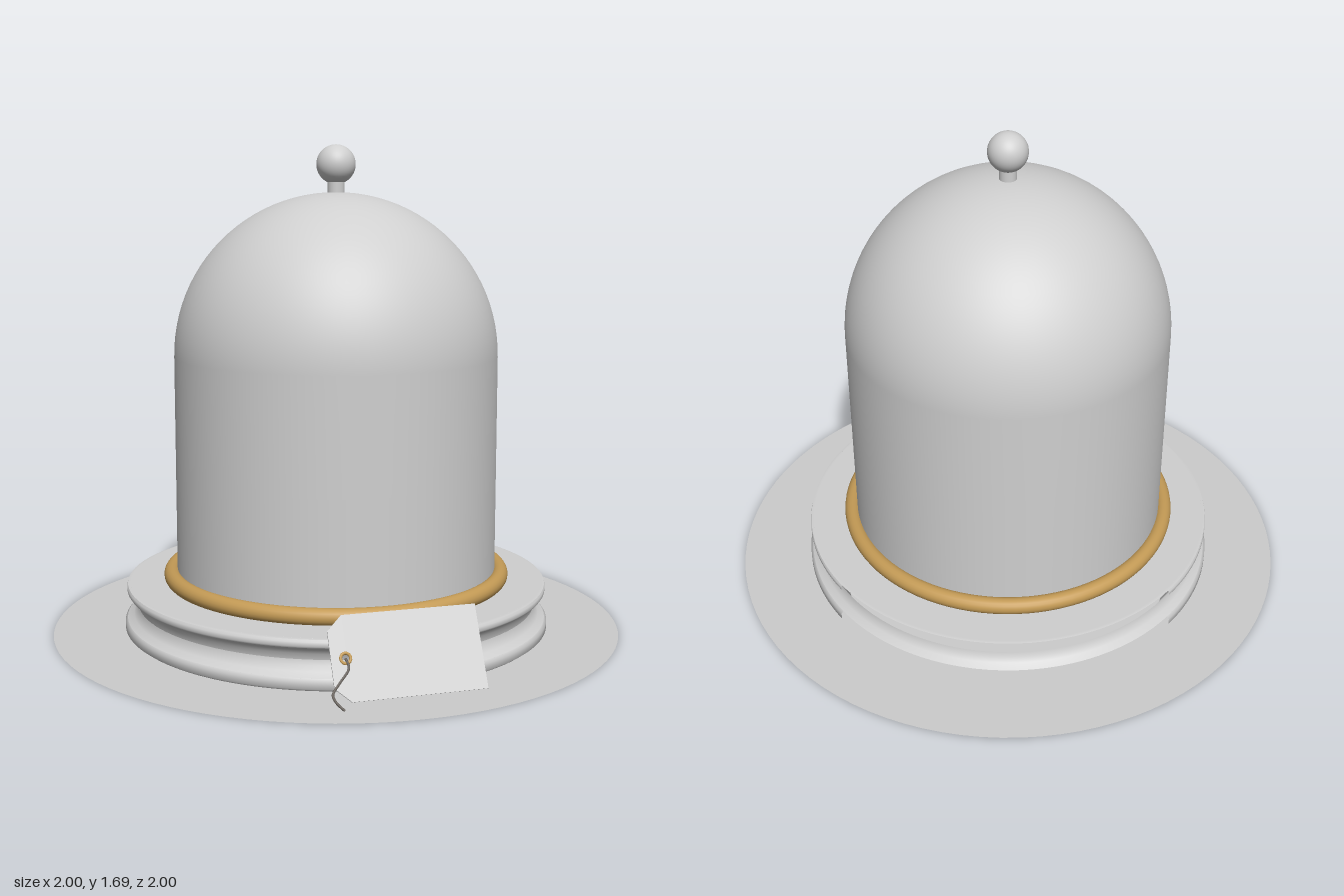
import * as THREE from 'three';

const mat = (name, color) => {
  const m = new THREE.MeshStandardMaterial({ color });
  m.name = name;
  return m;
};

export function createModel() {
  const model = new THREE.Group();
  model.name = 'bellJar';
  const grey = mat('pale grey', 0xcfcfcf);
  const brass = mat('brass', 0xc39a55);
  const twine = mat('dark twine', 0x66605a);
  const floor = mat('disc grey', 0xcccccc);
  floor.side = THREE.DoubleSide;

  const add = (name, geometry, material, parent = model) => {
    const mesh = new THREE.Mesh(geometry, material);
    mesh.name = name;
    parent.add(mesh);
    return mesh;
  };
  const lathe = (pts, start = 0, sweep = Math.PI * 2) =>
    new THREE.LatheGeometry(pts.map(([r, y]) => new THREE.Vector2(r, y)), 96, start, sweep);

  // Flat disc under everything
  add('groundDisc', new THREE.CircleGeometry(1, 96).rotateX(-Math.PI / 2), floor).position.y = 0.002;

  // Plinth: separate bands keep the edges crisp; some bands are open at the back
  const plinth = new THREE.Group();
  plinth.name = 'plinth';
  model.add(plinth);
  const rad = Math.PI / 180;
  const band = (name, pts, open) =>
    add(name, open ? lathe(pts, 231 * rad, 258 * rad) : lathe(pts), grey, plinth);
  band('lowerRim', [[0.738, 0.003], [0.75, 0.012], [0.75, 0.035], [0.742, 0.044]], true);
  band('lowerCove', [[0.742, 0.044], [0.72, 0.058], [0.708, 0.074], [0.704, 0.092]]);
  band('upperCove', [[0.704, 0.092], [0.708, 0.112], [0.72, 0.128], [0.738, 0.14]], true);
  band('upperRim', [[0.738, 0.14], [0.742, 0.146], [0.742, 0.16], [0.73, 0.17]], true);
  band('plinthTop', [[0.74, 0.168], [0.73, 0.17], [0.5, 0.17]]);

  // Brass collar around the foot of the dome
  add('brassRing', new THREE.TorusGeometry(0.583, 0.029, 20, 96).rotateX(Math.PI / 2), brass).position.y = 0.192;

  // Dome: straight wall running into a hemisphere
  const R = 0.565, spring = 0.965;
  const profile = [[R, 0.17], [R, 0.57]];
  for (let i = 0; i <= 24; i++) {
    const a = (i / 24) * Math.PI / 2;
    profile.push([Math.max(R * Math.cos(a), 0), spring + R * Math.sin(a)]);
  }
  add('dome', lathe(profile), grey);

  // Knob
  add('knobNeck', new THREE.CylinderGeometry(0.03, 0.03, 0.07, 32), grey).position.y = 1.55;
  add('knobBall', new THREE.SphereGeometry(0.068, 40, 28), grey).position.y = 1.625;

  // Leaning paper tag with clipped corners and an eyelet hole
  const tag = new THREE.Group();
  tag.name = 'tag';
  const u = new THREE.Vector3(0.41, 0, -0.18).normalize();
  const v = new THREE.Vector3(-0.05, 0.235, -0.115).normalize();
  const n = u.clone().cross(v).normalize();
  tag.applyMatrix4(new THREE.Matrix4().makeBasis(u, n.clone().cross(u), n).setPosition(0.565, 0.01, 0.66));
  model.add(tag);
  const outline = new THREE.Shape([[0, 0], [0.05 - 0.05, 0.266], [-0.44, 0.266], [-0.49, 0.22],
    [-0.49, 0.045], [-0.44, 0]].map(([x, y]) => new THREE.Vector2(x, y)));
  outline.holes.push(new THREE.Path().absarc(-0.443, 0.133, 0.012, 0, Math.PI * 2, true));
  add('tagCard', new THREE.ExtrudeGeometry(outline, { depth: 0.004, bevelEnabled: false }), grey, tag);
  add('eyelet', new THREE.TorusGeometry(0.016, 0.005, 10, 28), brass, tag).position.set(-0.443, 0.133, 0.003);

  // String hanging from the eyelet
  const path = new THREE.CatmullRomCurve3([[0.135, 0.127, 0.78], [0.148, 0.105, 0.805],
    [0.125, 0.07, 0.84], [0.108, 0.042, 0.868], [0.122, 0.025, 0.888], [0.15, 0.008, 0.905]]
    .map((p) => new THREE.Vector3(...p)));
  add('string', new THREE.TubeGeometry(path, 40, 0.004, 8), twine);

  return model;
}
